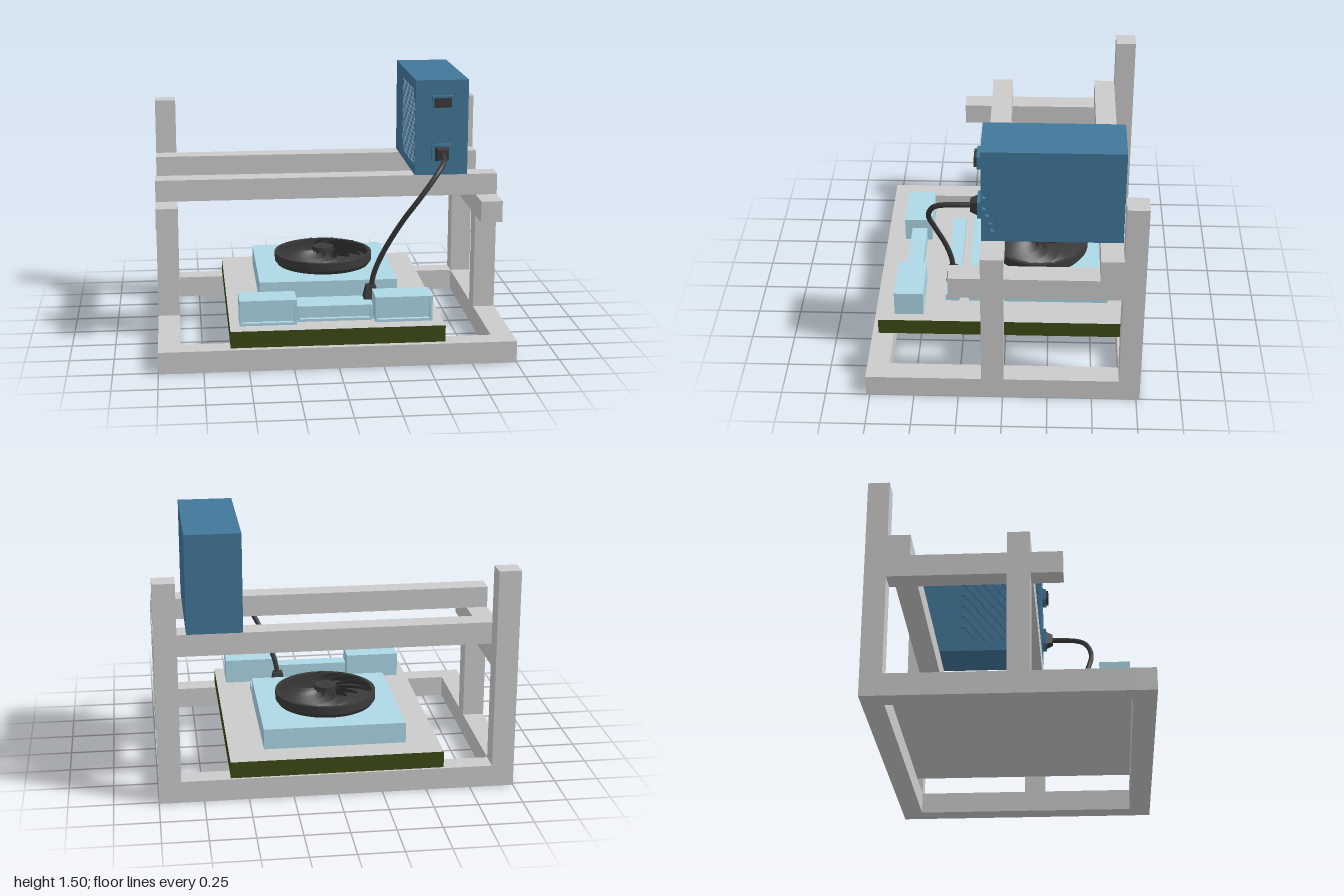
import * as THREE from 'three';
import { ParametricGeometry } from 'three/addons/geometries/ParametricGeometry.js';

const mat = (color, side = THREE.FrontSide) => new THREE.MeshStandardMaterial({ color, side });
const grey = mat(0xcccccc), green = mat(0x3c4a14), pale = mat(0xadd8e6);
const blue = mat(0x41779a), dark = mat(0x3a3a3a), darkThin = mat(0x3a3a3a, THREE.DoubleSide);

export function createModel() {
  const root = new THREE.Group();
  const add = (name, geo, material, x = 0, y = 0, z = 0) => {
    const m = new THREE.Mesh(geo, material);
    m.name = name;
    m.position.set(x, y, z);
    root.add(m);
    return m;
  };
  // box given by its limits on each axis
  const box = (name, material, x0, x1, y0, y1, z0, z1) =>
    add(name, new THREE.BoxGeometry(x1 - x0, y1 - y0, z1 - z0), material,
      (x0 + x1) / 2, (y0 + y1) / 2, (z0 + z1) / 2);
  // square block narrowing towards the top
  const taper = (w0, w1, h) => {
    const g = new THREE.CylinderGeometry(w1 / Math.SQRT2, w0 / Math.SQRT2, h, 4).toNonIndexed();
    g.rotateY(Math.PI / 4);
    g.computeVertexNormals();
    return g;
  };
  const rectPath = (P, x0, x1, y0, y1) => new P([[x0, y0], [x1, y0], [x1, y1], [x0, y1]]
    .map(([x, y]) => new THREE.Vector2(x, y)));

  // open bench frame
  box('baseFrontBeam', grey, -1, 1, 0, 0.125, 0.645, 0.77);
  box('baseRearBeam', grey, -1, 1, 0, 0.125, -0.77, -0.65);
  for (const s of [-1, 1]) {
    const a = Math.min(s, s * 0.875), b = Math.max(s, s * 0.875);
    box('baseSideBeam', grey, a, b, 0, 0.125, -0.65, 0.645);
    box('rearPost', grey, a, b, 0.125, 1.27, -0.77, -0.65);
    box('frontPost', grey, a, b, 0.125, 0.69, -0.005, 0.12);
    box('upperSideBeam', grey, a, b, 0.69, 0.815, -0.65, 0.295);
  }
  box('frontCrossBeam', grey, -1, 1, 0.815, 0.94, -0.005, 0.12);
  box('rearCrossBeam', grey, -1, 1, 0.815, 0.94, -0.65, -0.525);

  // circuit board: green edges, grey faces
  box('board', [green, green, grey, grey, green, green], -0.6, 0.6, 0.125, 0.22, -0.755, 0.735);
  box('coolerBase', pale, -0.41, 0.4, 0.22, 0.34, -0.597, 0.217);
  box('boardSlot', pale, -0.41, 0.4, 0.22, 0.262, 0.272, 0.355);

  // ports with recessed fronts
  const port = (name, x0, x1, y1, z0, z1) => {
    const t = 0.015, d = 0.025;
    box(name + 'Body', pale, x0, x1, 0.22, y1, z0, z1 - d);
    const s = rectPath(THREE.Shape, x0, x1, 0.22, y1);
    s.holes.push(rectPath(THREE.Path, x0 + t, x1 - t, 0.22 + t, y1 - t));
    add(name + 'Rim', new THREE.ExtrudeGeometry(s, { depth: d, bevelEnabled: false }), pale, 0, 0, z1 - d);
  };
  port('rightPort', -0.545, -0.225, 0.365, 0.475, 0.643);
  port('leftPort', 0.217, 0.54, 0.365, 0.475, 0.643);
  port('middlePort', -0.218, 0.208, 0.31, 0.505, 0.597);

  // cooling fan
  const fanZ = -0.19;
  const rim = [[0, 0.34], [0.278, 0.34], [0.287, 0.352], [0.294, 0.362], [0.294, 0.41],
    [0.272, 0.41], [0.272, 0.36], [0, 0.36]].map(([x, y]) => new THREE.Vector2(x, y));
  const rimGeo = new THREE.LatheGeometry(rim, 48).toNonIndexed();
  rimGeo.computeVertexNormals();
  add('fanRim', rimGeo, dark, 0, 0, fanZ);
  add('fanHub', new THREE.CylinderGeometry(0.065, 0.065, 0.08, 32), dark, 0, 0.4, fanZ);
  const blades = 13;
  const bladeGeo = new ParametricGeometry((u, v, p) => {
    const r = 0.06 + 0.222 * u;
    const a = 0.75 * u * u + v * (Math.PI * 2 / blades) * 0.95;
    p.set(r * Math.cos(a), 0.372 + 0.046 * v, r * Math.sin(a));
  }, 10, 4);
  for (let i = 0; i < blades; i++) {
    add('fanBlade', bladeGeo, darkThin, 0, 0, fanZ).rotation.y = i * Math.PI * 2 / blades;
  }

  // power supply: solid core between two slotted side panels
  box('supplyCore', blue, 0.53, 0.8, 0.94, 1.5, -0.65, 0.12);
  const slot = (z0, y0, z1, y1, w) => {
    const a = Math.atan2(y1 - y0, z1 - z0), p = new THREE.Path();
    p.absarc(z1, y1, w, a - Math.PI / 2, a + Math.PI / 2, false);
    p.absarc(z0, y0, w, a + Math.PI / 2, a + Math.PI * 1.5, false);
    p.closePath();
    return p;
  };
  const panel = (name, x1, slots) => {
    const s = rectPath(THREE.Shape, -0.65, 0.12, 0.94, 1.5);
    s.holes.push(...slots);
    const g = new THREE.ExtrudeGeometry(s, { depth: 0.02, bevelEnabled: false, curveSegments: 4 });
    g.rotateY(-Math.PI / 2);
    add(name, g, blue, x1);
  };
  panel('supplyLeftPanel', 0.82, [
    [0.1, 1.225, 0.065, 1.28], [0.1, 1.155, 0.05, 1.235], [0.082, 1.11, 0.03, 1.19],
    [0.066, 1.06, 0.014, 1.14], [0.056, 1.015, 0.006, 1.095],
  ].map(c => slot(...c, 0.014)));
  const vents = [];
  for (let c = 0.62; c < 1.55; c += 0.075) {
    const z0 = Math.max(-0.38, (c - 1.44) / 1.25), z1 = Math.min(0.095, (c - 1.0) / 1.25);
    if (z1 - z0 > 0.04) vents.push(slot(z0, c - 1.25 * z0, z1, c - 1.25 * z1, 0.012));
  }
  panel('supplyRightPanel', 0.53, vents);

  // switch and socket on the supply front
  box('switchBezel', blue, 0.605, 0.725, 1.335, 1.41, 0.12, 0.145);
  box('switch', dark, 0.615, 0.715, 1.345, 1.4, 0.145, 0.16);
  box('socketBezel', blue, 0.605, 0.725, 1.02, 1.125, 0.12, 0.145);
  add('upperPlug', taper(0.082, 0.055, 0.04), dark, 0.665, 1.07, 0.165).rotation.x = Math.PI / 2;

  // cable down to the board
  add('lowerPlug', taper(0.085, 0.055, 0.078), dark, 0.23, 0.301, 0.315);
  const path = new THREE.CatmullRomCurve3([
    [0.665, 1.07, 0.17], [0.66, 1.065, 0.25], [0.64, 1.05, 0.33], [0.6, 1.01, 0.39],
    [0.5, 0.885, 0.43], [0.4, 0.74, 0.405], [0.3, 0.55, 0.352], [0.25, 0.42, 0.325], [0.23, 0.32, 0.315],
  ].map(p => new THREE.Vector3(...p)));
  add('cable', new THREE.TubeGeometry(path, 64, 0.015, 12), dark);

  return root;
}
